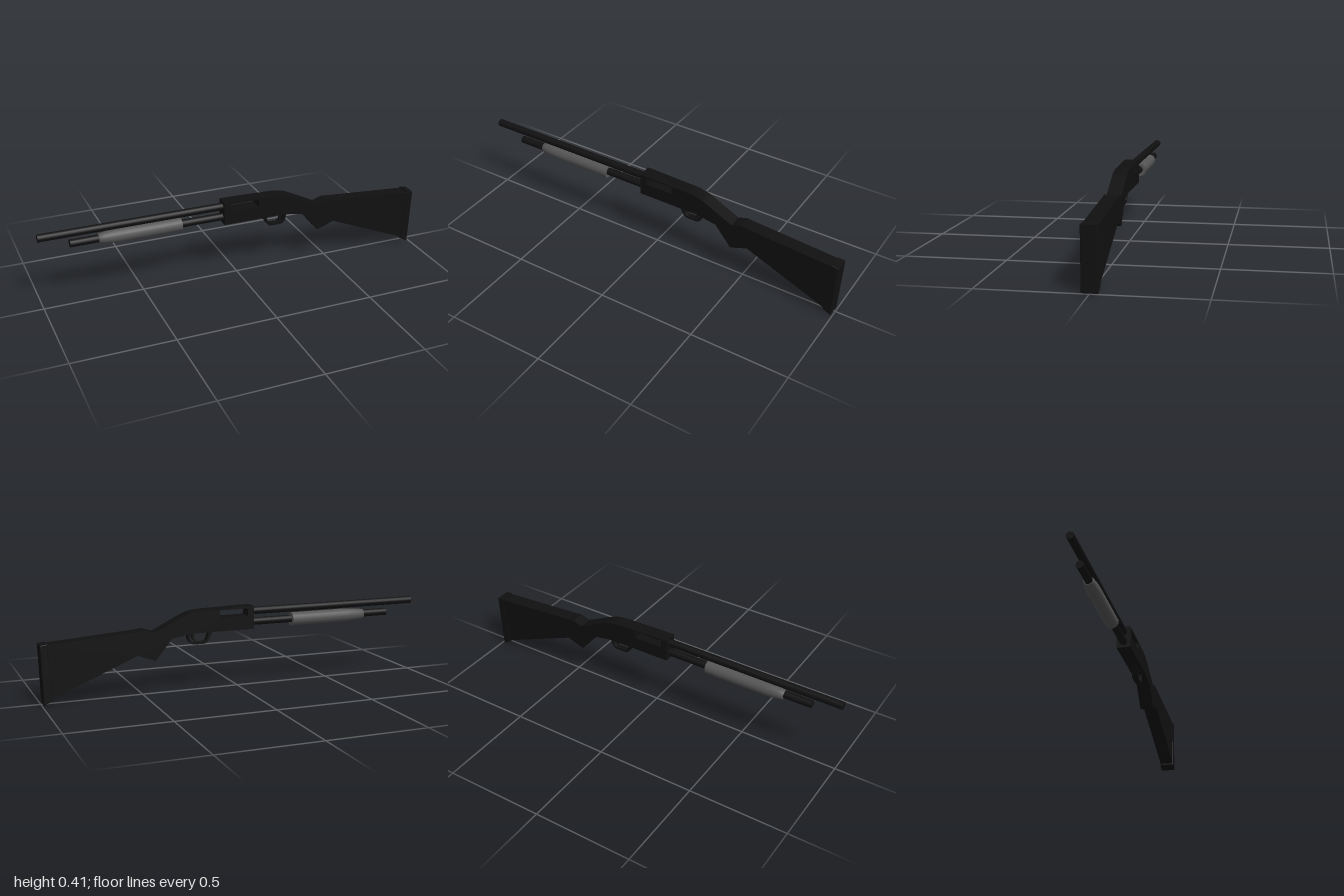
import * as THREE from 'three';

const black = new THREE.MeshStandardMaterial({ color: 0x101010 });
const grey = new THREE.MeshStandardMaterial({ color: 0x555555 });

const v2 = (pts) => pts.map(([x, y]) => new THREE.Vector2(x, y));

// Side profile extruded to a total width, centred on z = 0
function slab(name, shape, width, bevel = 0) {
  const geo = new THREE.ExtrudeGeometry(shape, {
    depth: width - 2 * bevel, bevelEnabled: bevel > 0, bevelSize: bevel,
    bevelThickness: bevel, bevelOffset: -bevel, bevelSegments: 2, curveSegments: 8,
  });
  geo.translate(0, 0, -(width - 2 * bevel) / 2);
  const mesh = new THREE.Mesh(geo, black);
  mesh.name = name;
  return mesh;
}

// Round part turned about the x axis; profile points are [radius, x]
function turned(name, profile, y, z, material) {
  const geo = new THREE.LatheGeometry(v2(profile), 20);
  geo.rotateZ(-Math.PI / 2);
  geo.translate(0, y, z);
  const mesh = new THREE.Mesh(geo, material);
  mesh.name = name;
  return mesh;
}

// Straight tube with a shallow bore at the muzzle end
function tube(name, x0, x1, y, r) {
  const part = new THREE.Group();
  part.name = name;
  const body = new THREE.Mesh(new THREE.CylinderGeometry(r, r, x1 - x0, 16), black);
  body.rotation.z = -Math.PI / 2;
  body.position.set((x0 + x1) / 2, y, 0);
  part.add(body);
  return part;
}

export function createModel() {
  const model = new THREE.Group();
  model.name = 'shotgun';

  // Barrel and magazine tube
  model.add(tube('barrel', -1, -0.06, 0.379, 0.019));
  model.add(tube('magazineTube', -0.85, -0.06, 0.324, 0.019));

  // Sliding fore-end, tapered towards the muzzle
  model.add(turned('foreEnd', [
    [0.018, -0.71], [0.024, -0.71], [0.028, -0.685], [0.032, -0.65], [0.034, -0.61],
    [0.034, -0.295], [0.034, -0.295], [0.018, -0.295],
  ], 0.322, -0.003, grey));

  // Receiver and grip, with a port through both sides
  const body = new THREE.Shape();
  body.moveTo(-0.078, 0.292);
  body.lineTo(0.25, 0.292);
  body.lineTo(0.355, 0.274);
  body.lineTo(0.44, 0.17);
  body.lineTo(0.53, 0.203);
  body.lineTo(0.53, 0.32);
  body.lineTo(0.49, 0.325);
  body.lineTo(0.44, 0.308);
  body.lineTo(0.29, 0.382);
  body.quadraticCurveTo(0.25, 0.4, 0.19, 0.402);
  body.lineTo(0.1, 0.404);
  body.lineTo(-0.01, 0.408);
  body.lineTo(-0.078, 0.408);
  body.closePath();
  body.holes.push(new THREE.Path(v2([
    [-0.045, 0.36], [-0.045, 0.398], [0.105, 0.398], [0.105, 0.36],
  ])));
  model.add(slab('receiverAndGrip', body, 0.071));

  // Shoulder stock
  model.add(slab('stock', new THREE.Shape(v2([
    [0.53, 0.203], [0.96, 0.025], [0.97, 0.289], [0.53, 0.32],
  ])), 0.071));

  // Butt pad
  model.add(slab('buttPad', new THREE.Shape(v2([
    [0.95, 0.02], [0.99, 0], [1, 0.29], [0.965, 0.295],
  ])), 0.076, 0.003));

  // Trigger guard loop
  const guard = new THREE.Shape();
  guard.moveTo(0.135, 0.295);
  guard.lineTo(0.158, 0.25);
  guard.quadraticCurveTo(0.167, 0.231, 0.19, 0.231);
  guard.lineTo(0.235, 0.231);
  guard.quadraticCurveTo(0.265, 0.236, 0.267, 0.275);
  guard.lineTo(0.267, 0.295);
  guard.closePath();
  const opening = new THREE.Path();
  opening.moveTo(0.157, 0.287);
  opening.lineTo(0.257, 0.287);
  opening.lineTo(0.257, 0.27);
  opening.quadraticCurveTo(0.252, 0.243, 0.232, 0.241);
  opening.lineTo(0.19, 0.241);
  opening.quadraticCurveTo(0.173, 0.242, 0.168, 0.253);
  opening.closePath();
  guard.holes.push(opening);
  model.add(slab('triggerGuard', guard, 0.03));

  // Curved trigger
  const trigger = new THREE.Shape();
  trigger.moveTo(0.222, 0.295);
  trigger.quadraticCurveTo(0.245, 0.268, 0.222, 0.247);
  trigger.lineTo(0.23, 0.245);
  trigger.quadraticCurveTo(0.256, 0.268, 0.24, 0.295);
  trigger.closePath();
  model.add(slab('trigger', trigger, 0.012));

  return model;
}
